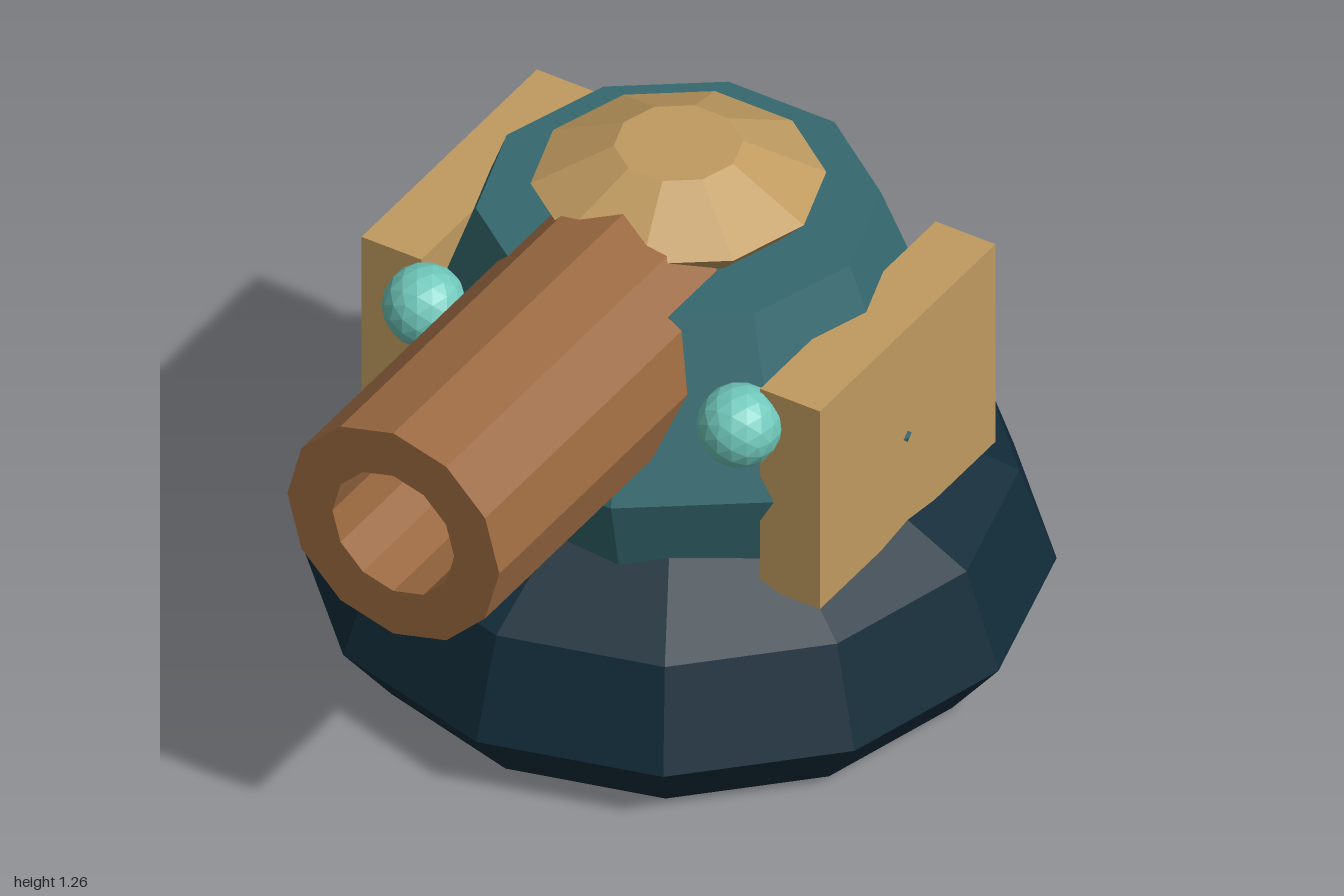
import * as THREE from 'three';

const mat = (name, color) => {
  const m = new THREE.MeshStandardMaterial({ color, flatShading: true });
  m.name = name;
  return m;
};

export function createModel() {
  const navy = mat('dark navy', 0x122b39);
  const teal = mat('teal', 0x35696f);
  const gold = mat('sand gold', 0xc09b60);
  const copper = mat('copper brown', 0x9c6a41);
  const aqua = mat('aqua', 0x70c8bb);

  const group = new THREE.Group();
  const axisZ = -0.17; // vertical axis of the base and turret

  const add = (name, geometry, material, x, y, z) => {
    const mesh = new THREE.Mesh(geometry, material);
    mesh.name = name;
    mesh.position.set(x, y, z);
    group.add(mesh);
    return mesh;
  };
  // Faceted solid of revolution from [radius, height] pairs, bottom to top
  const turned = (profile, sides, start = 0) =>
    new THREE.LatheGeometry(profile.map(([r, y]) => new THREE.Vector2(r, y)), sides, start);

  // Twelve-sided pedestal
  add('base', turned([[0, 0], [0.71, 0], [0.83, 0.15], [0.748, 0.39], [0.45, 0.545], [0, 0.545]], 12),
    navy, 0, 0, axisZ);

  // Ten-sided turret body and hatch, corners on the x axis
  add('turret', turned([[0, 0.45], [0.515, 0.45], [0.6, 0.7], [0.445, 1.108], [0, 1.108]], 10, Math.PI / 2),
    teal, 0, 0, axisZ);
  add('hatch', turned([[0, 1.07], [0.23, 1.07], [0.325, 1.17], [0.142, 1.265], [0, 1.265]], 10, Math.PI / 2),
    gold, 0, 0, axisZ);

  // Hollow barrel pointing forward
  const barrel = add('barrel', turned([[0.158, 0], [0.275, 0], [0.275, 1], [0.158, 1], [0.158, 0]], 12),
    copper, 0, 0.94, 0);
  barrel.rotation.x = Math.PI / 2;

  // Side armour plates and lamps
  for (const [side, s] of [['left', 1], ['right', -1]]) {
    add(`${side}ArmourPlate`, new THREE.BoxGeometry(0.155, 0.543, 0.72), gold, s * 0.517, 0.726, axisZ);
    add(`${side}Lamp`, new THREE.IcosahedronGeometry(0.095, 2), aqua, s * 0.408, 0.908, 0.225);
  }

  return group;
}
